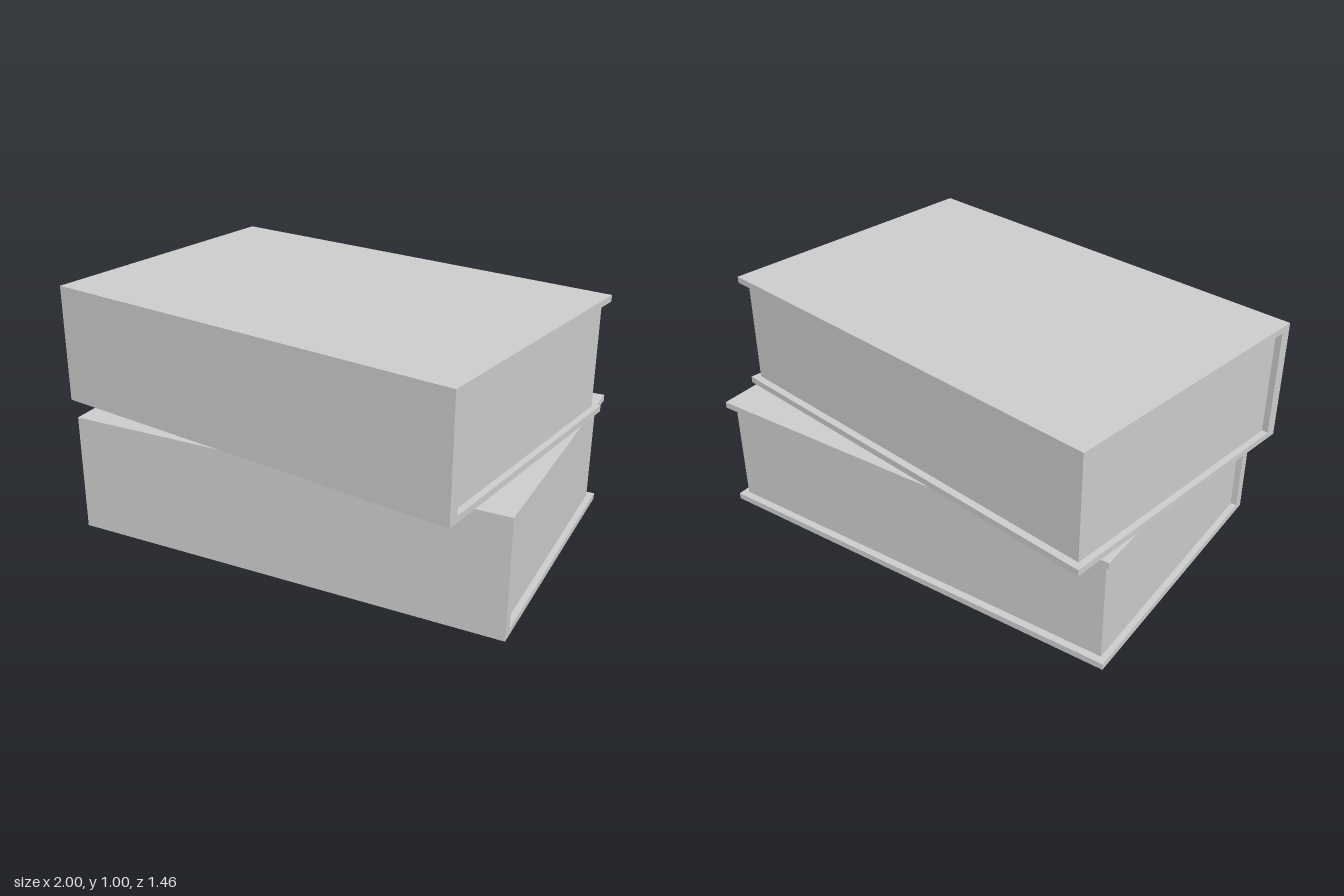
import * as THREE from 'three';

const W = 1.848, D = 1.205, H = 0.5; // closed book size
const COVER = 0.027, SPINE = 0.047;  // board and spine thickness
const SIDE = 0.026, FORE = 0.031;    // how far the pages sit back from the boards

const material = new THREE.MeshStandardMaterial({ color: 0xcccccc, flatShading: true });

function box(name, w, h, d, y, z) {
  const mesh = new THREE.Mesh(new THREE.BoxGeometry(w, h, d), material);
  mesh.name = name;
  mesh.position.set(0, y, z);
  return mesh;
}

// A hardback lying flat, its spine facing +z
function createBook(name) {
  const book = new THREE.Group();
  book.name = name;
  const inner = H - 2 * COVER;
  const pageDepth = D - SPINE - FORE;
  book.add(
    box('bottomCover', W, COVER, D, COVER / 2, 0),
    box('topCover', W, COVER, D, H - COVER / 2, 0),
    box('spine', W, inner, SPINE, H / 2, D / 2 - SPINE / 2),
    box('pages', W - 2 * SIDE, inner, pageDepth, H / 2, -D / 2 + FORE + pageDepth / 2)
  );
  return book;
}

export function createModel() {
  const model = new THREE.Group();
  model.name = 'bookStack';

  const lower = createBook('lowerBook');
  lower.position.set(0.057, 0, -0.025);
  lower.rotation.y = 0.02;

  const upper = createBook('upperBook');
  upper.position.set(0, H, 0);
  upper.rotation.y = -0.143;

  model.add(lower, upper);
  return model;
}
